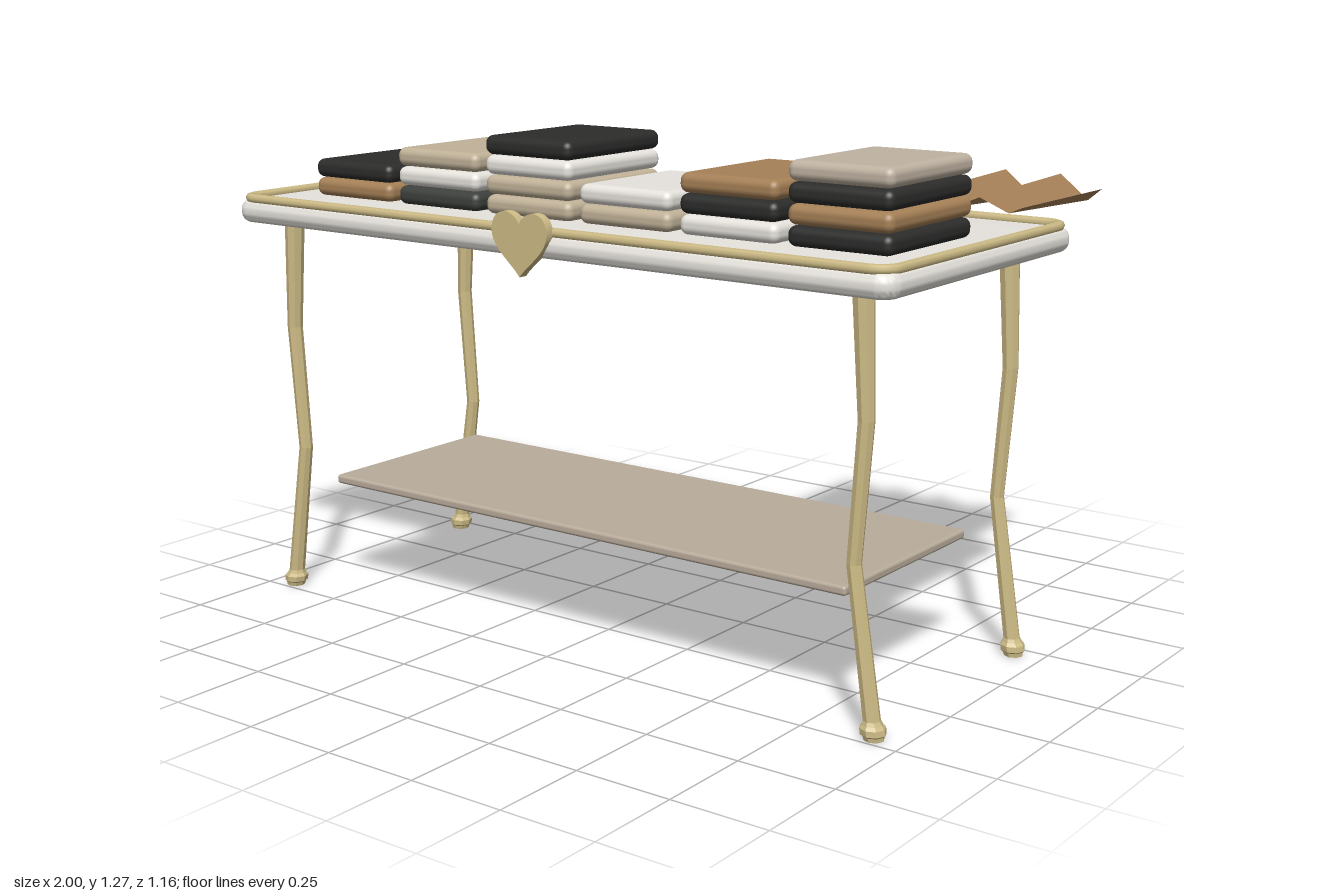
import * as THREE from 'three';
import { RoundedBoxGeometry } from 'three/addons/geometries/RoundedBoxGeometry.js';
import { toCreasedNormals } from 'three/addons/utils/BufferGeometryUtils.js';

const GOLD = 0xcdbb86, BROWN = 0xa58056, BLACK = 0x2c2c2b, SLATE = 0x3d403c;
const TAN = 0xc1b298, STONE = 0xbfb2a1, WHITE = 0xe6e3dd;
const TABLE_Z = 0.131;

const mat = (color, options = {}) => {
  const m = new THREE.MeshStandardMaterial({ color });
  return Object.assign(m, options);
};

function add(parent, name, geometry, material, x = 0, y = 0, z = 0) {
  const mesh = new THREE.Mesh(geometry, material);
  mesh.name = name;
  mesh.position.set(x, y, z);
  parent.add(mesh);
  return mesh;
}

function roundedRect(w, d, r) {
  const s = new THREE.Shape(), x = w / 2, y = d / 2;
  s.moveTo(-x + r, -y);
  s.lineTo(x - r, -y).absarc(x - r, -y + r, r, -Math.PI / 2, 0);
  s.lineTo(x, y - r).absarc(x - r, y - r, r, 0, Math.PI / 2);
  s.lineTo(-x + r, y).absarc(-x + r, y - r, r, Math.PI / 2, Math.PI);
  s.lineTo(-x, -y + r).absarc(-x + r, -y + r, r, Math.PI, Math.PI * 1.5);
  return s;
}

// Slab with a rounded plan and a rounded edge, lying on y = 0
function slab(w, d, h, r, bevel) {
  const g = new THREE.ExtrudeGeometry(roundedRect(w - 2 * bevel, d - 2 * bevel, r), {
    depth: h - 2 * bevel, bevelThickness: bevel, bevelSize: bevel, bevelSegments: 5, curveSegments: 6,
  });
  g.rotateX(-Math.PI / 2).translate(0, bevel, 0);
  return toCreasedNormals(g, 0.7);
}

// Octagonal leg turned straight with its foot, then bent sideways along its height
function legGeometry(side) {
  const profile = [
    [0, 0], [0.024, 0], [0.026, 0.01], [0.031, 0.014], [0.031, 0.028], [0.025, 0.036],
    [0.021, 0.045], [0.018, 0.4], [0.02, 0.73], [0.026, 1.02],
  ].map(([r, y]) => new THREE.Vector2(r, y));
  const bend = [[0, 0.927], [0.4, 0.866], [0.73, 0.89], [1.02, 0.876]];
  const g = new THREE.LatheGeometry(profile, 8);
  const p = g.attributes.position;
  for (let i = 0; i < p.count; i++) {
    const y = p.getY(i);
    const k = Math.max(1, bend.findIndex(b => b[0] >= y));
    const [y0, x0] = bend[k - 1], [y1, x1] = bend[k];
    p.setX(i, p.getX(i) + side * THREE.MathUtils.mapLinear(y, y0, y1, x0, x1));
  }
  g.computeVertexNormals();
  return g;
}

function heartGeometry() {
  const s = new THREE.Shape();
  s.moveTo(0, -0.078);
  s.bezierCurveTo(0.025, -0.045, 0.085, -0.015, 0.085, 0.03);
  s.bezierCurveTo(0.085, 0.085, 0.02, 0.09, 0, 0.048);
  s.bezierCurveTo(-0.02, 0.09, -0.085, 0.085, -0.085, 0.03);
  s.bezierCurveTo(-0.085, -0.015, -0.025, -0.045, 0, -0.078);
  const g = new THREE.ExtrudeGeometry(s, { depth: 0.024, bevelEnabled: false, curveSegments: 10 });
  return toCreasedNormals(g, 0.6);
}

// Pleated sheet whose folds deepen towards the back
function pleatGeometry() {
  const xs = [0.31], folds = [0];
  for (let i = 0; i < 8; i++) {
    xs.push(0.353 + i * 0.078);
    folds.push(i % 2 ? -1 : 1);
  }
  xs.push(0.936);
  folds.push(0);
  const g = new THREE.PlaneGeometry(1, 1, xs.length - 1, 1);
  const p = g.attributes.position;
  for (let i = 0; i < p.count; i++) {
    const k = i % xs.length, back = i < xs.length;
    p.setXYZ(i, xs[k], 1.13 + folds[k] * (back ? 0.031 : 0.016), back ? -0.582 : -0.147);
  }
  g.computeVertexNormals();
  return g;
}

export function createModel() {
  const model = new THREE.Group();
  model.name = 'displayTable';
  const gold = mat(GOLD);

  // Table top with a gilt rim
  add(model, 'tableTop', slab(2, 0.875, 0.06, 0.025, 0.025), mat(WHITE), 0, 1.014, TABLE_Z);
  const rimPath = new THREE.CurvePath();
  const outline = roundedRect(1.962, 0.84, 0.045).getPoints(5).map(q => new THREE.Vector3(q.x, 0, q.y));
  outline.forEach((a, i) => {
    const b = outline[(i + 1) % outline.length];
    if (a.distanceTo(b) > 1e-5) rimPath.add(new THREE.LineCurve3(a, b));
  });
  add(model, 'rim', new THREE.TubeGeometry(rimPath, 400, 0.0125, 8, true), gold, 0, 1.078, TABLE_Z);

  // Heart ornament on the front edge
  add(model, 'heartOrnament', heartGeometry(), gold, 0, 1.047, 0.558);

  // Bent legs and the lower shelf
  const legMaterial = mat(GOLD, { flatShading: true });
  for (const side of [-1, 1]) {
    const g = legGeometry(side);
    add(model, 'frontLeg', g, legMaterial, 0, 0, 0.47);
    add(model, 'backLeg', g, legMaterial, 0, 0, -0.205);
  }
  add(model, 'lowerShelf', new RoundedBoxGeometry(1.62, 0.024, 0.564, 3, 0.008), mat(0xb9ac9b), 0, 0.307, 0.132);

  // Stacks of folded cloth, listed from the bottom up
  const stacks = [
    [BROWN, BLACK],
    [SLATE, WHITE, TAN],
    [TAN, TAN, WHITE, BLACK],
    [TAN, WHITE],
    [WHITE, BLACK, BROWN],
    [BLACK, BROWN, BLACK, STONE],
  ];
  const cloth = new RoundedBoxGeometry(0.275, 0.048, 0.374, 4, 0.02);
  stacks.forEach((colors, i) => {
    const stack = new THREE.Group();
    stack.name = 'clothStack';
    stack.position.set(-0.75 + i * 0.3, 1.098, 0.192);
    colors.forEach((c, j) => add(stack, 'foldedCloth', cloth, mat(c), 0, j * 0.0495, 0));
    model.add(stack);
  });

  // Pleated sheet at the back corner
  add(model, 'pleatedSheet', pleatGeometry(), mat(BROWN, { flatShading: true, side: THREE.DoubleSide }));
  return model;
}
